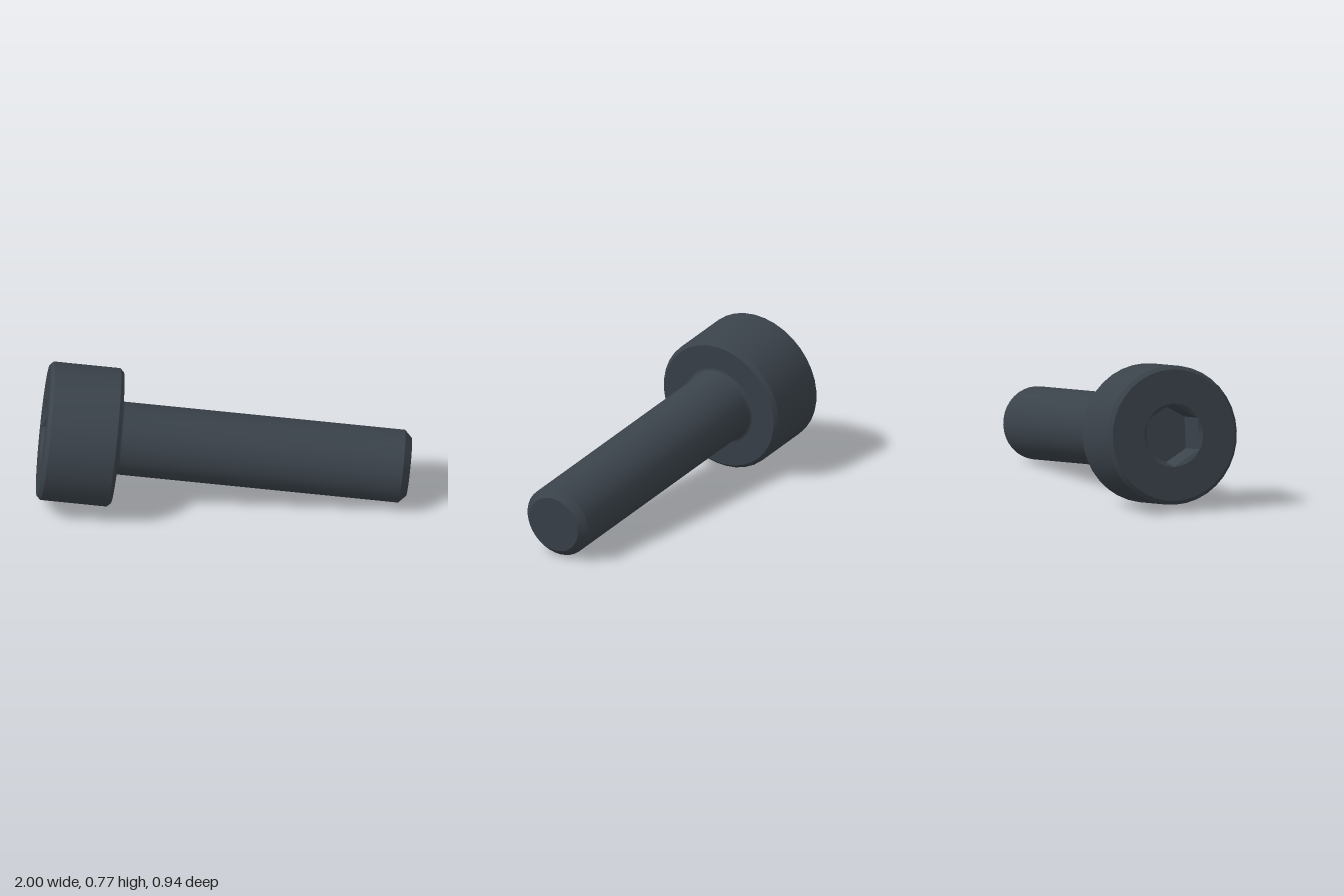
import * as THREE from 'three';
import { toCreasedNormals } from 'three/addons/utils/BufferGeometryUtils.js';

const SEGMENTS = 36;      // divisible by six so the hex corners fall on vertices
const SEAT = 1.545;       // underside of the head, measured from the tip
const TOP = 1.936;        // outer face of the head
const RIM = 0.167;        // socket opening, also the hex corner radius
const CREASE = 0.5;

function turned(points) {
  const profile = points.map(([r, y]) => new THREE.Vector2(r, y));
  return toCreasedNormals(new THREE.LatheGeometry(profile, SEGMENTS), CREASE);
}

// Hexagonal recess: round countersunk rim, six flat walls and a floor
function socketGeometry(depth) {
  const inradius = RIM * Math.cos(Math.PI / 6);
  const hexRadius = (a) => inradius / Math.cos((a % (Math.PI / 3)) - Math.PI / 6);
  const rings = [
    () => [RIM, TOP],
    (a) => [hexRadius(a), TOP - (RIM - hexRadius(a)) * 0.7],
    (a) => [hexRadius(a), TOP - depth],
    () => [0, TOP - depth],
  ];
  const positions = [];
  const index = [];
  rings.forEach((ring, k) => {
    for (let i = 0; i < SEGMENTS; i++) {
      const a = (i / SEGMENTS) * Math.PI * 2;
      const [r, y] = ring(a);
      positions.push(r * Math.cos(a), y, r * Math.sin(a));
      if (k === rings.length - 1) continue;
      const p = k * SEGMENTS + i;
      const q = k * SEGMENTS + ((i + 1) % SEGMENTS);
      index.push(p, p + SEGMENTS, q);
      if (k < rings.length - 2) index.push(q, p + SEGMENTS, q + SEGMENTS);
    }
  });
  const geometry = new THREE.BufferGeometry();
  geometry.setAttribute('position', new THREE.Float32BufferAttribute(positions, 3));
  geometry.setIndex(index);
  return toCreasedNormals(geometry, 0.3);
}

export function createModel() {
  const steel = new THREE.MeshStandardMaterial({ color: 0x3a424a });
  steel.name = 'dark steel';

  const model = new THREE.Group();
  model.name = 'socketHeadScrew';
  const add = (name, geometry) => {
    const mesh = new THREE.Mesh(geometry, steel);
    mesh.name = name;
    model.add(mesh);
  };

  // Shank with chamfered tip and a small fillet under the head
  const radius = 0.193;
  const fillet = 0.02;
  const shank = [[0, 0], [0.154, 0], [radius, 0.039]];
  for (let i = 0; i <= 4; i++) {
    const a = (i / 4) * Math.PI / 2;
    shank.push([radius + fillet * (1 - Math.cos(a)), SEAT - fillet * (1 - Math.sin(a))]);
  }
  add('shank', turned(shank));

  // Cylindrical head, chamfered on both rims and open at the socket
  add('head', turned([
    [radius + fillet, SEAT], [0.347, SEAT], [0.367, SEAT + 0.02],
    [0.367, TOP - 0.02], [0.347, TOP], [RIM, TOP],
  ]));

  add('hexSocket', socketGeometry(0.195));

  // Tilt the screw: its local y runs from the tip towards the head
  const axis = new THREE.Vector3(-0.9716, 0.1135, -0.2077).normalize();
  const up = new THREE.Vector3(0, 1, 0).addScaledVector(axis, -axis.y).normalize();
  const side = new THREE.Vector3().crossVectors(up, axis);
  model.quaternion.setFromRotationMatrix(new THREE.Matrix4().makeBasis(up, axis, side));
  model.position.set(0.963, 0.19, 0.2875);
  return model;
}
